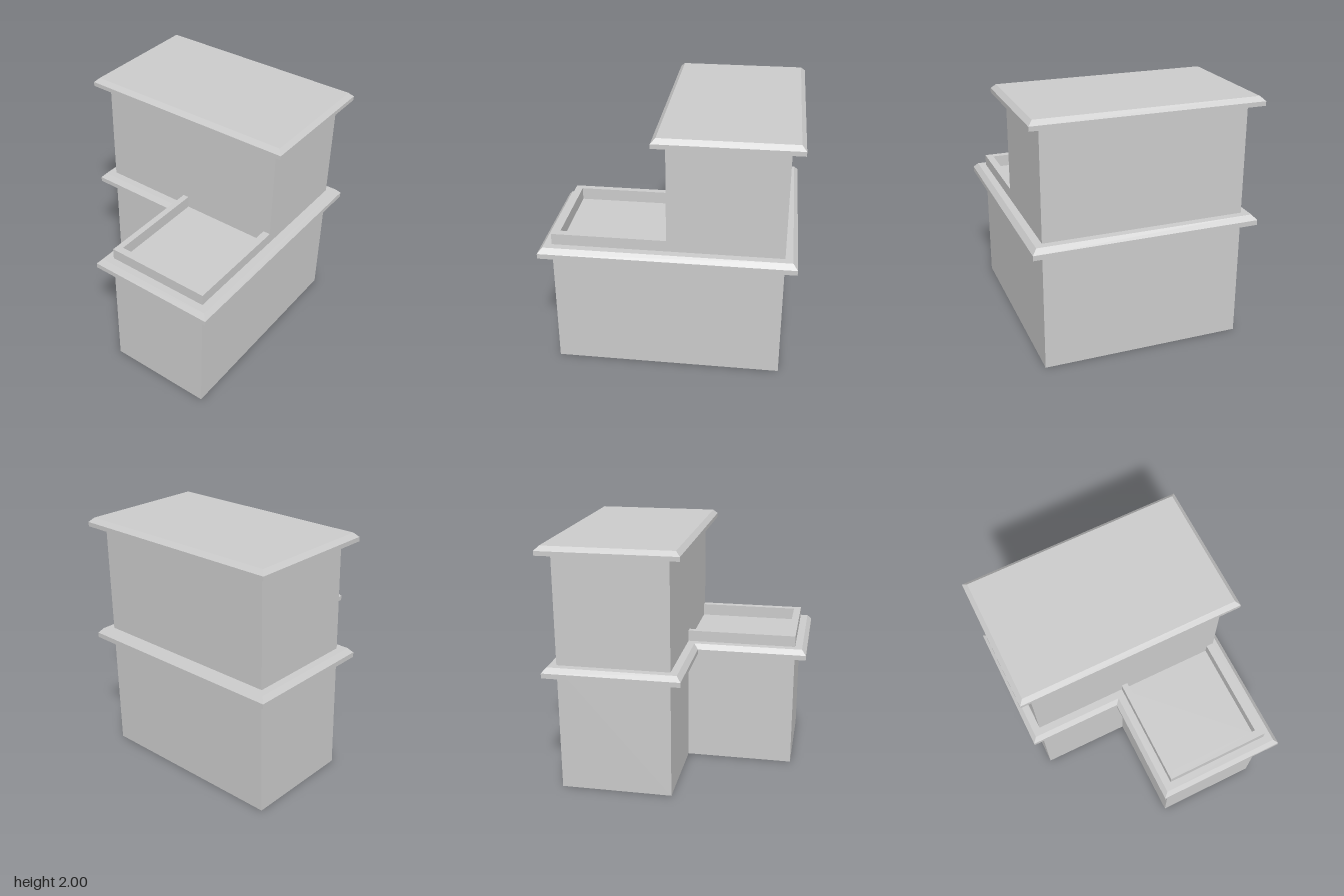
import * as THREE from 'three';

const material = new THREE.MeshStandardMaterial({ color: 0xcccccc, flatShading: true });

// Footprint corners [x, z, outward x sign, outward z sign], counter-clockwise from above
const towerPlan = [[-0.81, 0.01, -1, 1], [0.81, 0.01, 1, 1], [0.81, -0.89, 1, -1], [-0.81, -0.89, -1, -1]];
const groundPlan = [
  [-0.81, 0.01, -1, 1], [-0.05, 0.01, -1, 1], [-0.05, 0.9, -1, 1],
  [0.81, 0.9, 1, 1], [0.81, -0.89, 1, -1], [-0.81, -0.89, -1, -1],
];
// U-shaped wall around the wing's terrace
const parapetPlan = [
  [-0.05, 0.01], [-0.05, 0.9], [0.81, 0.9], [0.81, 0.01],
  [0.75, 0.01], [0.75, 0.84], [0, 0.84], [0, 0.01],
];

function addMesh(group, name, geometry) {
  const mesh = new THREE.Mesh(geometry, material);
  mesh.name = name;
  group.add(mesh);
}

// Upright solid from a plan, between two heights
function prism(plan, bottom, top) {
  const shape = new THREE.Shape(plan.map(([x, z]) => new THREE.Vector2(x, -z)));
  const geometry = new THREE.ExtrudeGeometry(shape, { depth: top - bottom, bevelEnabled: false });
  return geometry.rotateX(-Math.PI / 2).translate(0, bottom, 0);
}

// Mitred moulding: an overhang profile carried around a plan
function moulding(plan, base, top) {
  const middle = (base + top) / 2;
  const profile = [[0, base], [0.095, base], [0.095, middle], [0.06, top], [0, top]];
  const point = (i, j) => {
    const [x, z, sx, sz] = plan[i % plan.length];
    const [out, y] = profile[j];
    return [x + sx * out, y, z + sz * out];
  };
  const positions = [];
  for (let i = 0; i < plan.length; i++) {
    for (let j = 0; j < profile.length - 1; j++) {
      const a = point(i, j), b = point(i + 1, j), c = point(i + 1, j + 1), d = point(i, j + 1);
      positions.push(...a, ...b, ...c, ...a, ...c, ...d);
    }
  }
  const geometry = new THREE.BufferGeometry();
  geometry.setAttribute('position', new THREE.Float32BufferAttribute(positions, 3));
  geometry.computeVertexNormals();
  return geometry;
}

export function createModel() {
  const building = new THREE.Group();
  building.name = 'building';
  addMesh(building, 'groundFloor', prism(groundPlan, 0, 1.04));
  addMesh(building, 'upperFloor', prism(towerPlan, 1.04, 2));
  addMesh(building, 'terraceParapet', prism(parapetPlan, 1.04, 1.14));
  addMesh(building, 'middleCornice', moulding(groundPlan, 0.97, 1.05));
  addMesh(building, 'roofCornice', moulding(towerPlan, 1.93, 2));
  return building;
}
